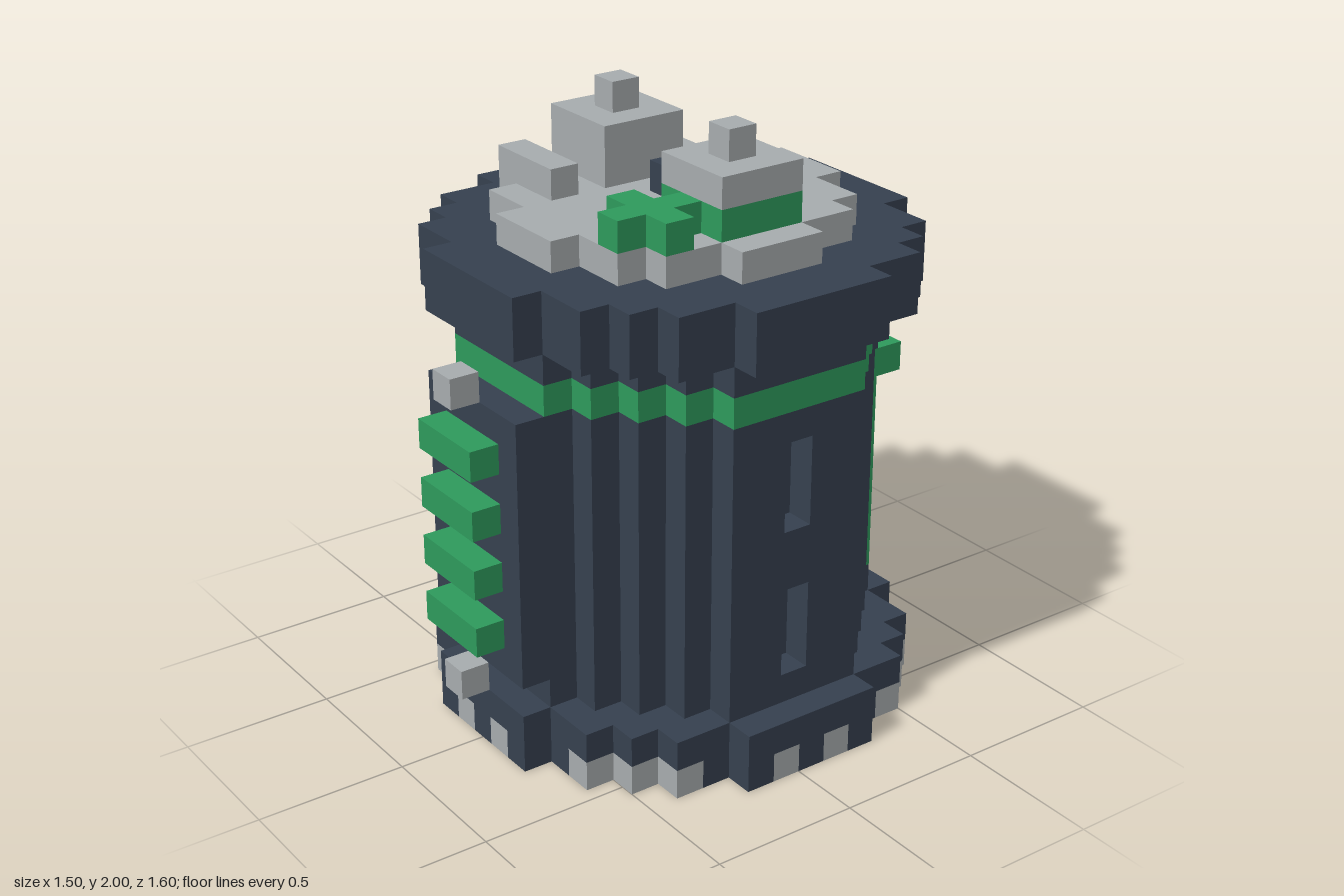
import * as THREE from 'three';

const V = 0.1;        // grid step
const ZC = -0.05;     // axis of the round parts

export function createModel() {
  const model = new THREE.Group();
  model.name = 'tower';

  const mat = (name, color) => {
    const m = new THREE.MeshStandardMaterial({ color });
    m.name = name;
    return m;
  };
  const dark = mat('slate', 0x364150);
  const green = mat('green', 0x2e9b5d);
  const grey = mat('light grey', 0xa8adaf);

  const add = (name, geometry, material) => {
    const mesh = new THREE.Mesh(geometry, material);
    mesh.name = name;
    model.add(mesh);
    return mesh;
  };

  // Box given by its lower and upper limits
  const box = (name, material, x0, x1, y0, y1, z0, z1) =>
    add(name, new THREE.BoxGeometry(x1 - x0, y1 - y0, z1 - z0), material)
      .position.set((x0 + x1) / 2, (y0 + y1) / 2, (z0 + z1) / 2);

  // One grid cell, counted in steps from the axis
  const cell = (name, material, i, k, y0) =>
    box(name, material, (i - 0.5) * V, (i + 0.5) * V, y0, y0 + V, ZC + (k - 0.5) * V, ZC + (k + 0.5) * V);

  // Stepped disc: half widths (in steps) from the middle row outwards, mirrored
  const disc = (name, material, halves, y0, y1, dropBack = false) => {
    const n = halves.length - 1;
    const right = [], left = [];
    for (let k = dropBack ? 1 - n : -n; k <= n; k++) {
      const x = (halves[Math.abs(k)] + 0.5) * V;
      for (const s of [-0.5, 0.5]) {
        const z = ZC + (k + s) * V;
        right.push(new THREE.Vector2(x, -z));
        left.unshift(new THREE.Vector2(-x, -z));
      }
    }
    const geometry = new THREE.ExtrudeGeometry(new THREE.Shape([...right, ...left]),
      { depth: y1 - y0, bevelEnabled: false });
    geometry.rotateX(-Math.PI / 2);
    add(name, geometry, material).position.y = y0;
  };

  const RIM = [7, 7, 7, 6, 6, 5, 4, 2];
  const WALL = [6, 6, 6, 5, 4, 3, 2];
  const SLIT = [5, ...WALL.slice(1)];   // wall with a recess in the middle of each side

  // Base with light blocks set into its lower edge
  disc('baseCore', dark, [6, 6, 6, 6, 5, 4, 3], 0, 0.1);
  disc('baseRim', dark, RIM, 0.1, 0.2);
  for (const s of [-1, 1]) {
    for (let t = -2; t <= 2; t++) {
      const odd = Math.abs(t) === 1;
      const name = odd ? 'baseLight' : 'baseBlock';
      cell(name, odd ? grey : dark, t, 7 * s, 0);
      cell(name, odd ? grey : dark, 7 * s, t, 0);
    }
    for (const [i, k] of [[6, 4], [5, 5], [4, 6]]) {
      cell('baseCornerLight', grey, i, k * s, 0);
      cell('baseCornerLight', grey, -i, k * s, 0);
    }
  }

  // Body with side slits; the back row is left free for the door
  disc('bodyFoot', dark, WALL, 0.2, 0.3);
  disc('bodyLowerSlits', dark, SLIT, 0.3, 0.6, true);
  disc('bodyMiddle', dark, WALL, 0.6, 0.8, true);
  disc('bodyUpperSlits', dark, SLIT, 0.8, 1.1, true);
  disc('bodyTop', dark, WALL, 1.1, 1.2);
  disc('greenBand', green, WALL, 1.2, 1.3);
  disc('bodyNeck', dark, WALL, 1.3, 1.4);
  disc('topRim', dark, RIM, 1.4, 1.6);

  // Front panel with bars and end knobs
  box('frontPanel', dark, -0.25, 0.25, 0.3, 1.2, 0.6, 0.7);
  for (const y of [0.4, 0.6, 0.8, 1.0]) box('frontBar', green, -0.15, 0.15, y, y + V, 0.7, 0.8);
  for (const y of [0.2, 1.2]) box('frontKnob', grey, -0.05, 0.05, y, y + V, 0.7, 0.8);

  // Back door with two dark slots and a handle
  const rect = (Type, x, y0, y1) => new Type([[-x, y0], [x, y0], [x, y1], [-x, y1]]
    .map(([a, b]) => new THREE.Vector2(a, b)));
  const door = rect(THREE.Shape, 0.25, 0.3, 1.1);
  for (const y of [0.5, 0.8]) {
    door.holes.push(rect(THREE.Path, 0.15, y, y + V));
    box('doorSlot', dark, -0.15, 0.15, y, y + V, -0.7, -0.6);
  }
  add('backDoor', new THREE.ExtrudeGeometry(door, { depth: V, bevelEnabled: false }), green).position.z = -0.7;
  box('doorHandle', green, 0.15, 0.25, 1.0, 1.1, -0.8, -0.7);

  // Roof plate and the fittings on it
  disc('roofPlate', grey, [5, 5, 4, 4, 3, 1], 1.6, 1.7);
  box('leftStackBase', green, 0.15, 0.45, 1.7, 1.8, -0.2, 0.1);
  box('leftStackTop', grey, 0.15, 0.45, 1.8, 1.9, -0.2, 0.1);
  box('rightStack', grey, -0.45, -0.15, 1.7, 1.9, -0.2, 0.1);
  for (const i of [-3, 3]) cell('stackKnob', grey, i, 0, 1.9);
  cell('centrePeg', dark, 0, 0, 1.7);
  box('roofBar', grey, -0.45, -0.15, 1.7, 1.8, 0.2, 0.3);
  for (const [i, k] of [[3, 2], [2, 3], [3, 3], [4, 3], [3, 4]]) cell('roofCross', green, i, k, 1.7);

  return model;
}
